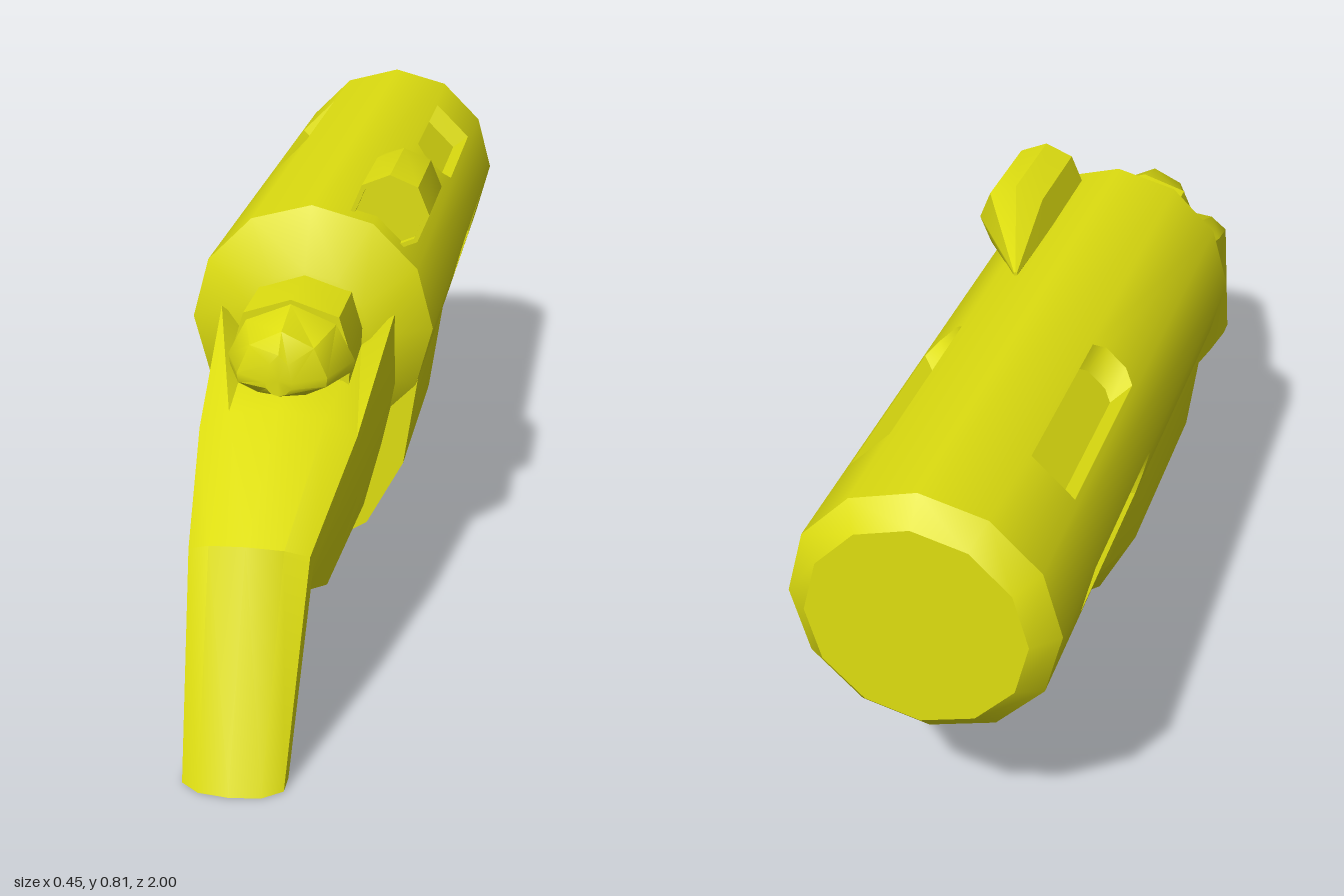
import * as THREE from 'three';
import { mergeGeometries, toCreasedNormals } from 'three/addons/utils/BufferGeometryUtils.js';

const CREASE = 0.7;
const V = (x, y, z) => new THREE.Vector3(x, y, z);

// Skin a list of equal rings (counter-clockwise from the front), ordered front to back
function loft(rings, capFront = true, capBack = true) {
  const pos = [];
  const tri = (...pts) => pts.forEach((p) => pos.push(p.x, p.y, p.z));
  const n = rings[0].length;
  const middle = (r) => r.reduce((s, p) => s.add(p), V(0, 0, 0)).divideScalar(n);
  const last = rings[rings.length - 1];
  const cf = middle(rings[0]), cb = middle(last);
  for (let i = 0; i < n; i++) {
    const j = (i + 1) % n;
    for (let k = 0; k + 1 < rings.length; k++) {
      const a = rings[k], b = rings[k + 1];
      tri(a[i], b[i], b[j]);
      tri(a[i], b[j], a[j]);
    }
    if (capFront) tri(cf, rings[0][i], rings[0][j]);
    if (capBack) tri(cb, last[j], last[i]);
  }
  const g = new THREE.BufferGeometry();
  g.setAttribute('position', new THREE.Float32BufferAttribute(pos, 3));
  return toCreasedNormals(g, CREASE);
}

// Regular ring with one corner at the top
const circle = (n, r, z, cx, cy) => Array.from({ length: n }, (_, i) => {
  const a = (i / n) * Math.PI * 2;
  return V(cx - r * Math.sin(a), cy + r * Math.cos(a), z);
});

// Mirror a half profile (top centre to bottom centre) into a full ring
const mirror = (half) => [
  ...half.map((p) => V(-p.x, p.y, p.z)),
  ...half.slice(1, -1).reverse(),
];
const flatRing = (pts, z) => mirror(pts.map(([x, y]) => V(x, y, z)));

// Barrel: twelve panels, four of them cut by a sunken slot
const R = 0.225, CY = 0.53, FRONT = 0.215, BACK = -0.96;
function barrelPanel(k) {
  const phi = ((k + 0.5) * Math.PI) / 6;
  const half = R * Math.sin(Math.PI / 12);
  const out = V(Math.sin(phi), Math.cos(phi), 0);
  const m = new THREE.Matrix4().makeBasis(V(out.y, -out.x, 0), V(0, 0, -1), out);
  m.setPosition(out.clone().multiplyScalar(R * Math.cos(Math.PI / 12)).add(V(0, CY, 0)));

  const shape = new THREE.Shape([[-half, -FRONT], [half, -FRONT], [half, -BACK], [-half, -BACK]]
    .map(([x, y]) => new THREE.Vector2(x, y)));
  const parts = [];
  if ([1, 3, 8, 10].includes(k)) {
    const outline = (w, y0, y1, c, z) => [
      V(-w + c, y0, z), V(w - c, y0, z), V(w, y0 + c, z),
      V(w, y1, z), V(-w, y1, z), V(-w, y0 + c, z),
    ];
    const rim = outline(0.05, 0.38, 0.765, 0.025, 0);
    const floor = outline(0.042, 0.42, 0.74, 0.02, -0.035);
    shape.holes.push(new THREE.Path(rim.map((p) => new THREE.Vector2(p.x, p.y))));
    parts.push(loft([rim.reverse(), floor.reverse()], false, true).applyMatrix4(m));
  }
  const skin = new THREE.ShapeGeometry(shape).toNonIndexed().applyMatrix4(m);
  skin.deleteAttribute('uv');
  // round the shading around the barrel axis
  const p = skin.attributes.position, nrm = skin.attributes.normal;
  for (let i = 0; i < p.count; i++) {
    const v = V(p.getX(i), p.getY(i) - CY, 0).normalize();
    nrm.setXYZ(i, v.x, v.y, 0);
  }
  parts.push(skin);
  return parts;
}

// Grip section between a front point and a rear point, each given as [z, y]
function gripRing(front, rear, w, flange = 0) {
  const profile = [[0, 0], [0.62, 0.025], [1, 0.12 - flange], [1, 0.27], [0.84, 0.6], [0.62, 0.95], [0, 1]];
  return mirror(profile.map(([x, t]) => V(
    x * w,
    THREE.MathUtils.lerp(front[1], rear[1], t),
    THREE.MathUtils.lerp(front[0], rear[0], t),
  )));
}

export function createModel() {
  const model = new THREE.Group();
  const yellow = new THREE.MeshStandardMaterial({ color: 0xdede10 });
  yellow.name = 'yellow';
  const add = (name, geometry) => {
    const mesh = new THREE.Mesh(geometry, yellow);
    mesh.name = name;
    model.add(mesh);
  };

  // Barrel body with its slots
  add('barrel', mergeGeometries(Array.from({ length: 12 }, (_, k) => barrelPanel(k)).flat()));
  add('barrelShoulder', loft([circle(12, 0.12, 0.29, 0, CY), circle(12, R, FRONT, 0, CY)], true, false));
  add('barrelEnd', loft([circle(12, R, BACK, 0, CY), circle(12, 0.183, -1, 0, CY)], false, true));

  // Curved grip running into the frame
  add('grip', loft([
    gripRing([1, 0.003], [0.73, 0.003], 0.083),
    gripRing([0.84, 0.365], [0.62, 0.18], 0.1),
    gripRing([0.56, 0.49], [0.56, 0.15], 0.137),
    gripRing([0.26, 0.535], [0.22, 0.15], 0.16, 0.21),
    gripRing([0.14, 0.5], [0.14, 0.19], 0.155),
  ]));

  // Rear neck and rounded knob
  const neck = [[0, 0.645], [0.085, 0.617], [0.105, 0.55], [0.1, 0.45], [0, 0.42]];
  add('neck', loft([flatRing(neck, 0.43), flatRing(neck, 0.28)]));
  const knob = [[0, 0.637], [0.08, 0.604], [0.113, 0.54], [0.11, 0.52], [0.06, 0.5], [0, 0.494]];
  const knobRing = (z, s) => flatRing(knob.map(([x, y]) => [x * s, 0.53 + (y - 0.53) * (0.4 + 0.6 * s)]), z);
  add('knob', loft([knobRing(0.55, 0.2), knobRing(0.52, 0.7), knobRing(0.43, 1)]));

  // Deep housing under the barrel
  const belly = [[0, 0.43], [0.195, 0.43], [0.165, 0.23], [0.095, 0.1], [0, 0.04]];
  add('lowerHousing', loft([
    flatRing(belly, 0.15),
    flatRing(belly, -0.27),
    flatRing([[0, 0.34], [0.145, 0.335], [0.135, 0.22], [0.08, 0.15], [0, 0.115]], -0.36),
    flatRing([[0, 0.335], [0.115, 0.33], [0.1, 0.265], [0.06, 0.215], [0, 0.19]], -0.45),
  ]));

  // Offset sight with a sunken lens, tapering into the barrel
  const sx = 0.138, sy = 0.735;
  add('sight', loft([
    circle(8, 0.064, 0.165, sx, sy),
    circle(8, 0.064, 0.18, sx, sy),
    circle(8, 0.073, 0.18, sx, sy),
    circle(8, 0.073, -0.02, sx, sy),
    circle(8, 0.004, -0.23, 0.075, 0.738),
  ]));

  return model;
}
